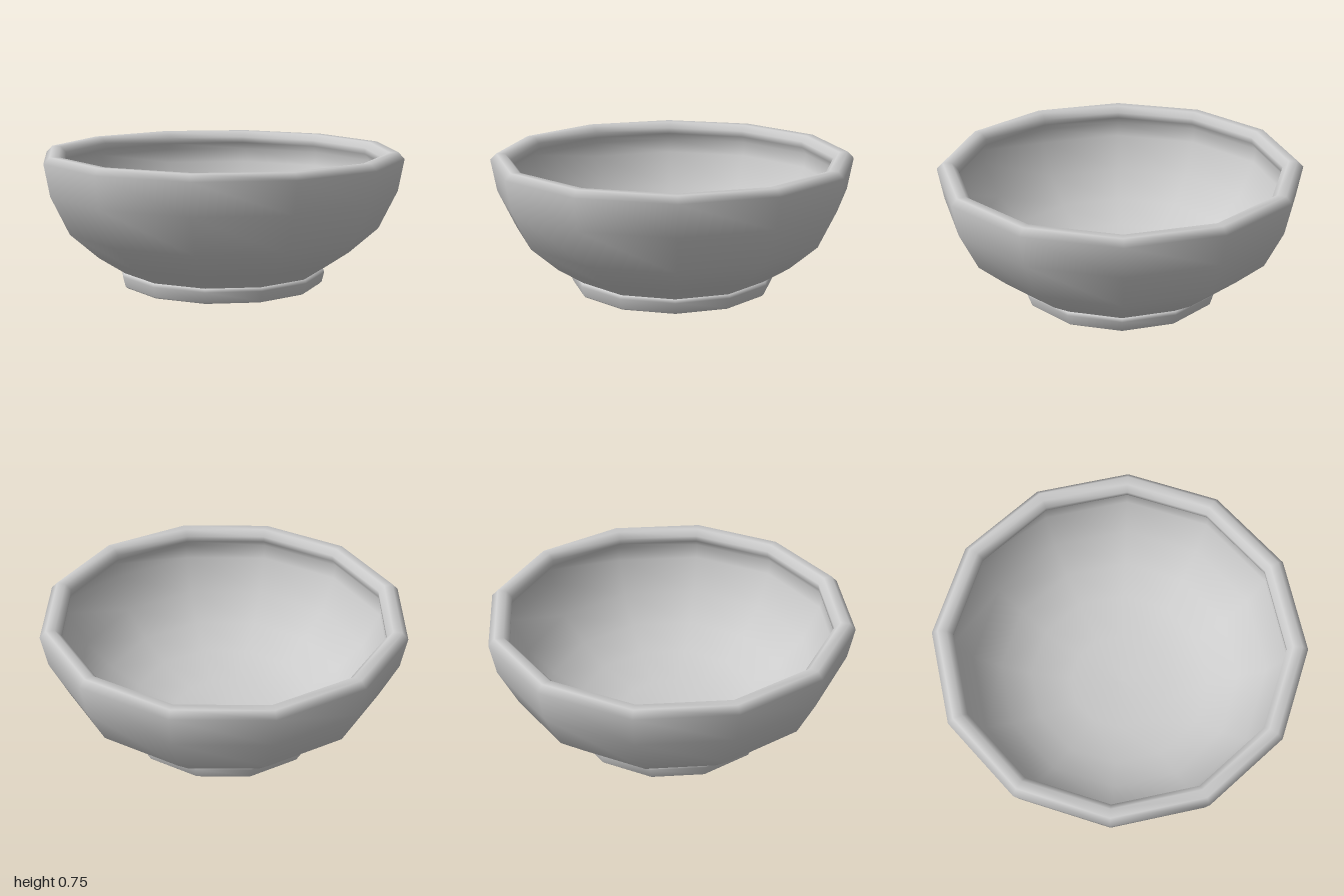
import * as THREE from 'three';

const SIDES = 12;

// Revolve a [radius, height] profile, ordered from the base outward and over the rim
function revolve(name, profile, material) {
  const points = profile.map(([r, y]) => new THREE.Vector2(r, y));
  const mesh = new THREE.Mesh(new THREE.LatheGeometry(points, SIDES), material);
  mesh.name = name;
  return mesh;
}

export function createModel() {
  const group = new THREE.Group();
  group.name = 'bowl';
  const material = new THREE.MeshStandardMaterial({ color: 0xcccccc });

  // outer wall, rounded lip with a slight inner overhang, then the hollow inside
  const outer = [[0.55, 0.085], [0.71, 0.19], [0.867, 0.33], [0.968, 0.54], [1, 0.715]];
  const lip = [[0.966, 0.75], [0.918, 0.748], [0.887, 0.715], [0.89, 0.68], [0.92, 0.64]];
  const inner = [[0.907, 0.56], [0.817, 0.37], [0.672, 0.235], [0.51, 0.135], [0.28, 0.07], [0, 0.065]];

  group.add(
    // nearly flat underside
    revolve('underside', [[0, 0], [0.5, 0.002], [0.552, 0.01]], material),
    // low foot ring, flaring slightly upward
    revolve('foot', [[0.552, 0.01], [0.562, 0.02], [0.576, 0.075], [0.57, 0.092], [0.55, 0.096]], material),
    revolve('bowlShell', [...outer, ...lip, ...inner], material),
  );
  return group;
}
